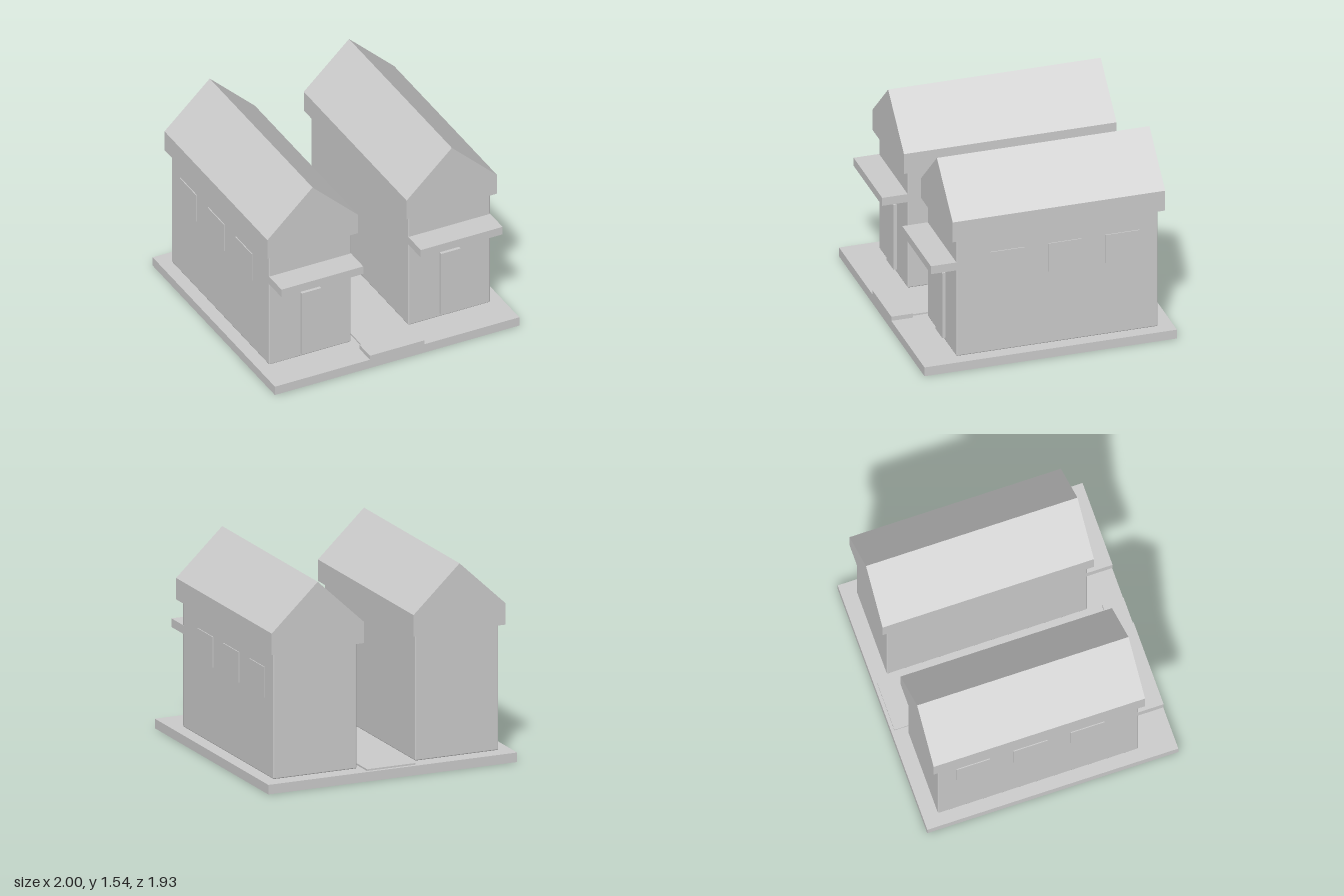
import * as THREE from 'three';
import { RoundedBoxGeometry } from 'three/addons/geometries/RoundedBoxGeometry.js';

export function createModel() {
  const model = new THREE.Group();
  model.name = 'twinHouses';
  const material = new THREE.MeshStandardMaterial({ color: 0xcccccc });

  function add(parent, name, geometry) {
    const mesh = new THREE.Mesh(geometry, material);
    mesh.name = name;
    parent.add(mesh);
    return mesh;
  }

  // Box given by its extents along each axis
  function box(parent, name, [x0, x1], [y0, y1], [z0, z1], bevel = 0) {
    const size = [x1 - x0, y1 - y0, z1 - z0];
    const geometry = bevel
      ? new RoundedBoxGeometry(...size, 2, bevel)
      : new THREE.BoxGeometry(...size);
    const mesh = add(parent, name, geometry);
    mesh.position.set((x0 + x1) / 2, (y0 + y1) / 2, (z0 + z1) / 2);
    return mesh;
  }

  // Ground slab, central path and entry step
  box(model, 'groundSlab', [-1, 1], [0, 0.072], [-0.965, 0.965]);
  box(model, 'path', [-0.195, 0.195], [0.06, 0.085], [-0.94, 0.8]);
  box(model, 'entryStep', [-0.223, 0.223], [0.06, 0.106], [0.8, 0.965]);

  // Gabled roof outline: low fascia with a pitched top
  const gable = new THREE.Shape([
    new THREE.Vector2(-0.37, 1.028),
    new THREE.Vector2(0.37, 1.028),
    new THREE.Vector2(0.37, 1.19),
    new THREE.Vector2(0, 1.537),
    new THREE.Vector2(-0.37, 1.19),
  ]);

  for (const side of [-1, 1]) {
    const house = new THREE.Group();
    house.name = side > 0 ? 'leftHouse' : 'rightHouse';
    house.position.x = side * 0.57;
    model.add(house);

    box(house, 'walls', [-0.335, 0.335], [0.072, 1.029], [-0.85, 0.69], 0.009);

    const roof = add(house, 'roof',
      new THREE.ExtrudeGeometry(gable, { depth: 1.625, bevelEnabled: false }));
    roof.position.z = -0.895;

    // Front door and the canopy above it
    box(house, 'door', [-0.08, 0.08], [0.1, 0.63], [0.67, 0.715]);
    box(house, 'canopy', [-0.335, 0.335], [0.775, 0.84], [0.67, 0.885]);

    // Three shallow window panels on the outer wall
    for (const z of [-0.58, -0.14, 0.3]) {
      const window = box(house, 'sideWindow', [-0.01, 0.01], [0.655, 0.885], [z - 0.13, z + 0.13]);
      window.position.x = side * 0.332;
    }
  }

  return model;
}
